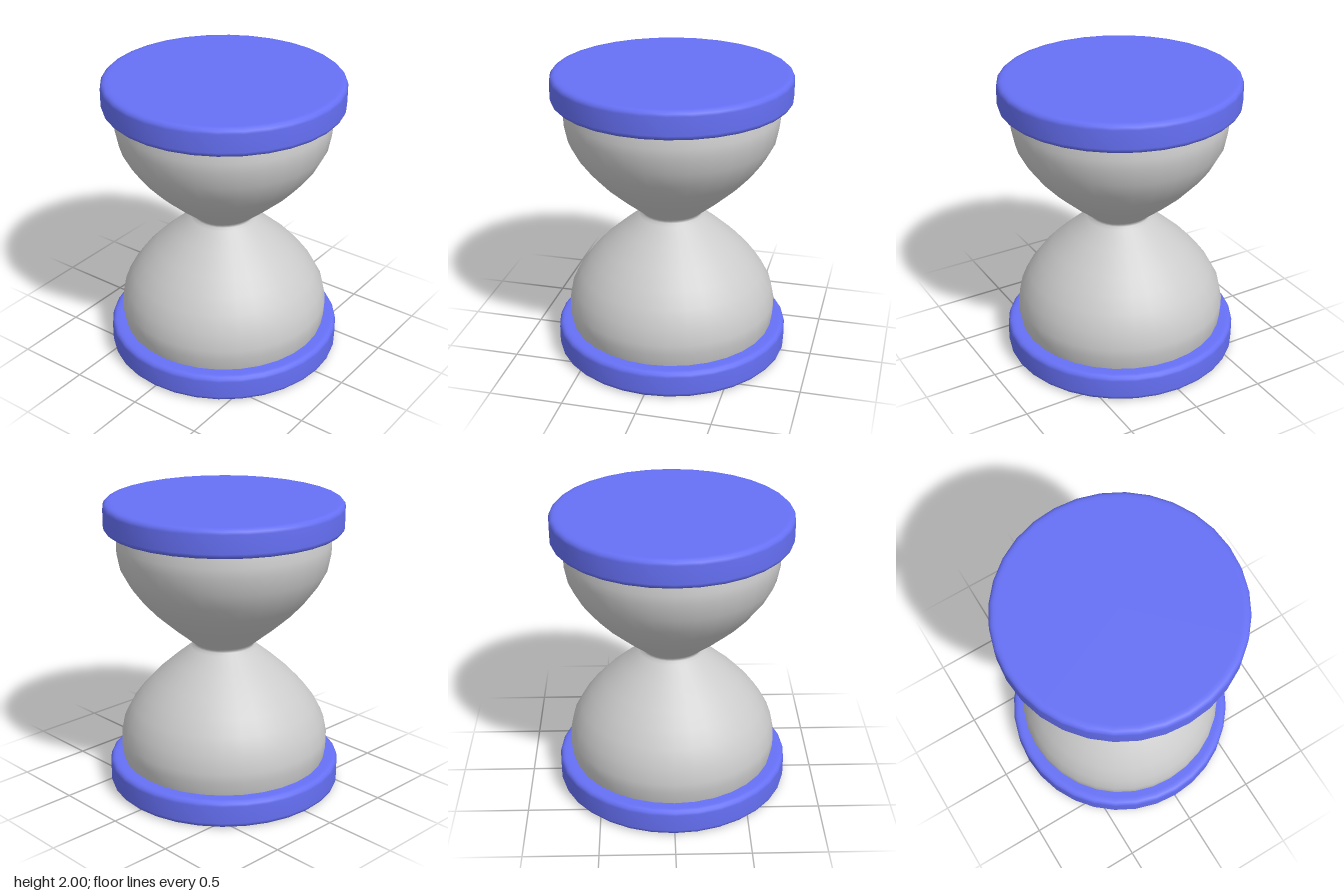
import * as THREE from 'three';

const SIDES = 32;

function lathe(name, points, material) {
  const profile = points.map(([r, y]) => new THREE.Vector2(r, y));
  const mesh = new THREE.Mesh(new THREE.LatheGeometry(profile, SIDES), material);
  mesh.name = name;
  return mesh;
}

// Closed disc profile with softly rounded rims, bottom to top
function discProfile(radius, height, bevel) {
  const points = [[0, 0], [radius - bevel - 0.02, 0]];
  for (const [centreY, start] of [[bevel, -90], [height - bevel, 0]]) {
    for (let i = 0; i <= 3; i++) {
      const a = THREE.MathUtils.degToRad(start + i * 30);
      points.push([radius - bevel + bevel * Math.cos(a), centreY + bevel * Math.sin(a)]);
    }
  }
  points.push([radius - bevel - 0.02, height], [0, height]);
  return points;
}

export function createModel() {
  const model = new THREE.Group();
  model.name = 'hourglass';
  const grey = new THREE.MeshStandardMaterial({ color: 0xcccccc, side: THREE.DoubleSide });
  const blue = new THREE.MeshStandardMaterial({ color: 0x6670f5 });

  // Bulbs: lower half profile, mirrored above the neck
  const neckY = 1.005;
  const lower = [
    [0.69, 0.15], [0.705, 0.2], [0.718, 0.28], [0.718, 0.345], [0.695, 0.46], [0.637, 0.57],
    [0.565, 0.667], [0.475, 0.765], [0.345, 0.882], [0.225, 0.98], [0.208, 0.998],
  ];
  const upper = lower.map(([r, y]) => [r, 2 * neckY - y]).reverse();
  model.add(lathe('glass', [...lower, [0.204, 1.012], ...upper.slice(1)], grey));

  // End caps
  const capHeight = 0.19;
  const cap = discProfile(0.8, capHeight, 0.035);
  const base = lathe('bottomCap', cap, blue);
  const top = lathe('topCap', cap, blue);
  top.position.y = 2 - capHeight;
  model.add(base, top);

  return model;
}
